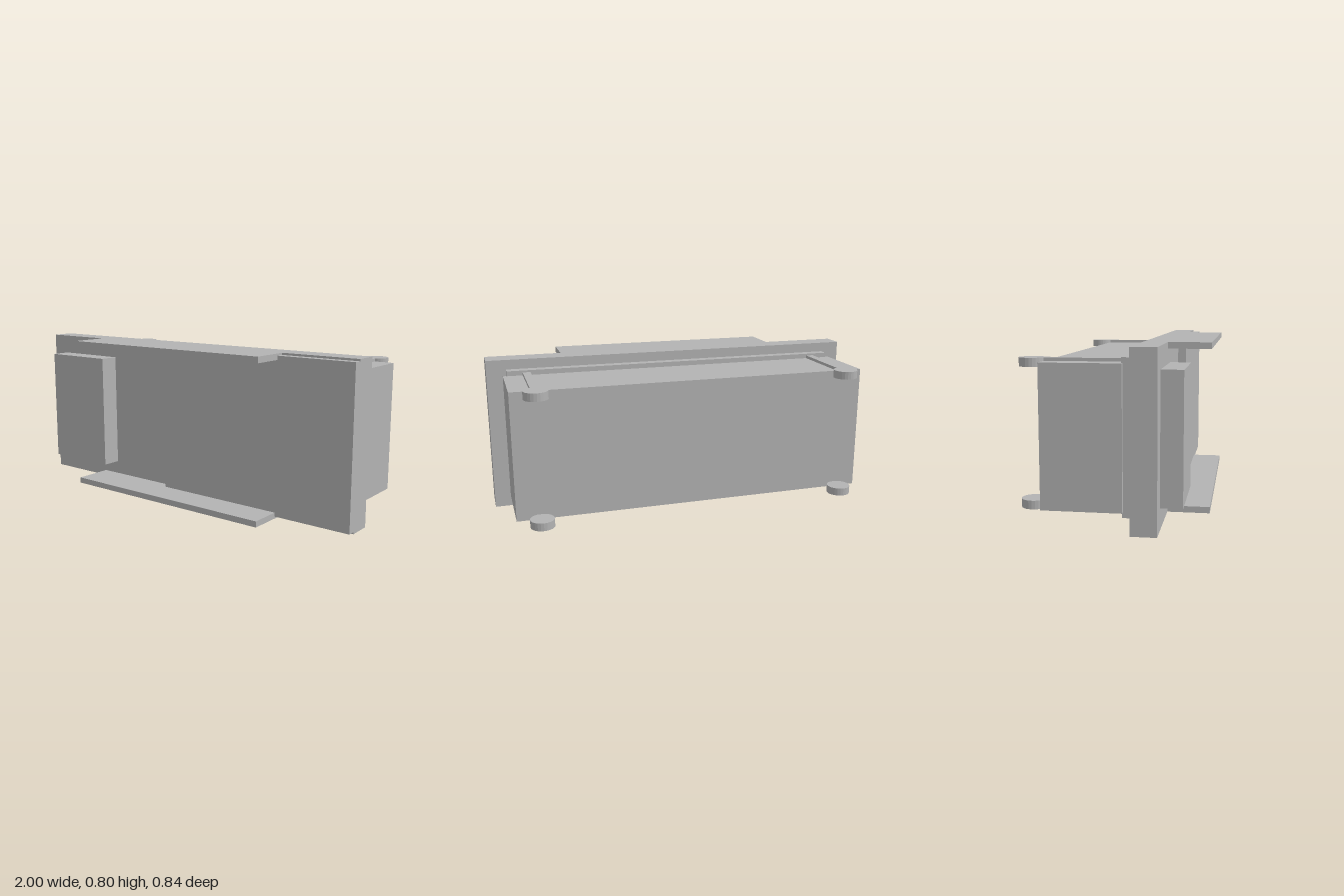
import * as THREE from 'three';

export function createModel() {
  const model = new THREE.Group();
  model.name = 'panelUnit';
  const grey = new THREE.MeshStandardMaterial({ color: 0xb3b3b3, flatShading: true });
  grey.name = 'plain grey';

  function add(name, geometry, x, y, z) {
    const mesh = new THREE.Mesh(geometry, grey);
    mesh.name = name;
    mesh.position.set(x, y, z);
    model.add(mesh);
    return mesh;
  }

  // Box given by its lower and upper bounds on each axis
  function block(name, [x0, x1], [y0, y1], [z0, z1]) {
    return add(name, new THREE.BoxGeometry(x1 - x0, y1 - y0, z1 - z0),
      (x0 + x1) / 2, (y0 + y1) / 2, (z0 + z1) / 2);
  }

  // Housing, gasket and front plate, from back to front
  block('rearHousing', [-0.92, 0.92], [0.075, 0.725], [-0.305, 0.06]);
  block('gasket', [-0.9, 0.9], [0.05, 0.75], [0.055, 0.105]);
  block('frontPlate', [-1, 1], [0, 0.8], [0.105, 0.222]);

  // Raised details on the front
  block('raisedPanel', [-0.1, 1], [0.01, 0.79], [0.222, 0.262]);
  block('controlBlock', [-0.9, -0.5], [0.1, 0.7], [0.222, 0.322]);

  // Top and bottom guard flanges
  block('topFlange', [-0.6, 0.6], [0.77, 0.8], [0.222, 0.422]);
  block('bottomFlange', [-0.6, 0.6], [0, 0.03], [0.222, 0.422]);

  // Clamp bars along the housing with round heads behind it
  for (const [side, x] of [['left', 0.8], ['right', -0.8]]) {
    for (const [level, y0, y1, headY] of [['Upper', 0.725, 0.74, 0.72], ['Lower', 0.06, 0.075, 0.08]]) {
      block(`${side}${level}ClampBar`, [x - 0.02, x + 0.02], [y0, y1], [-0.305, 0.055]);
      add(`${side}${level}ClampHead`, new THREE.CylinderGeometry(0.06, 0.06, 0.04, 24), x, headY, -0.362);
    }
  }
  return model;
}
